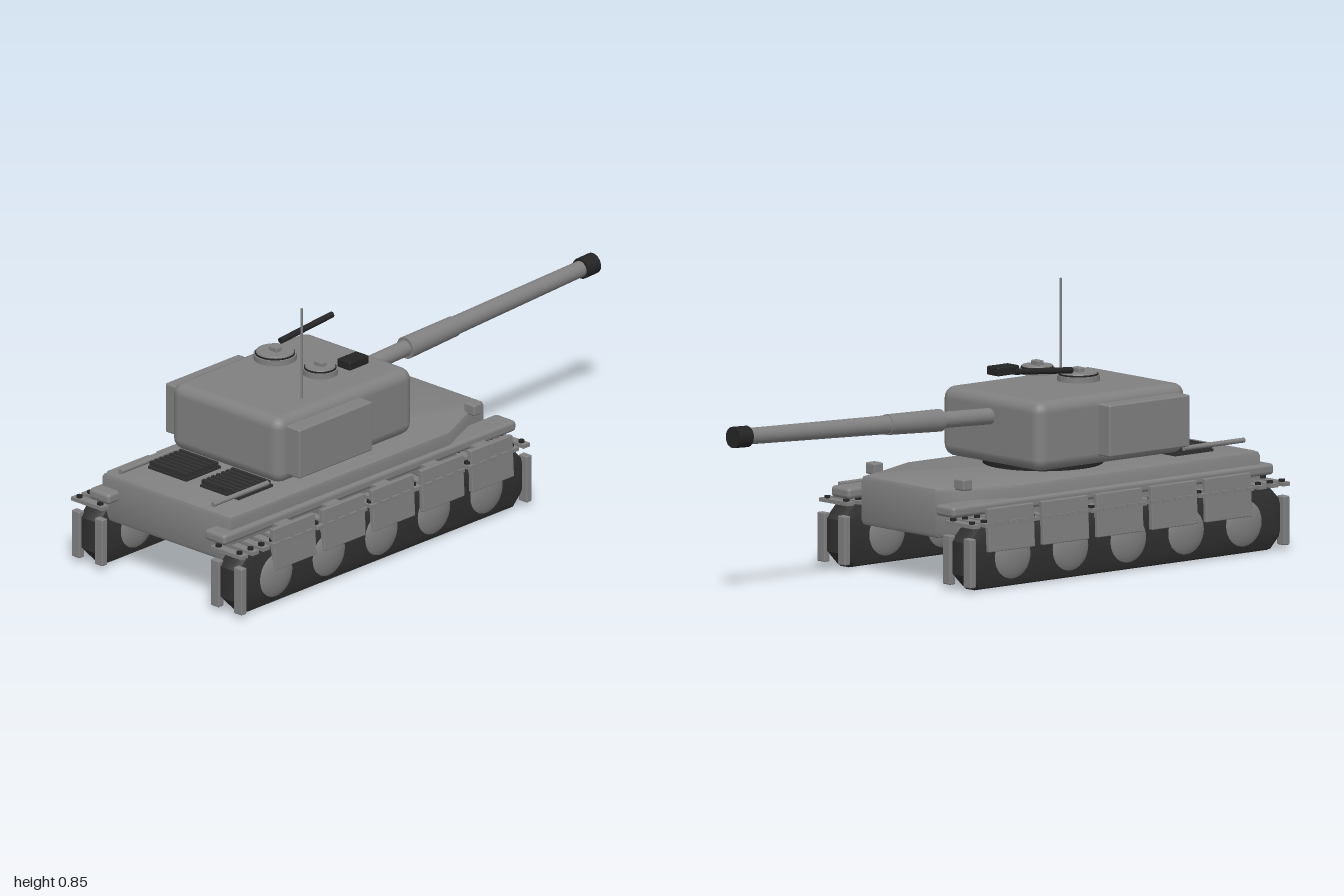
import * as THREE from 'three';
import { RoundedBoxGeometry } from 'three/addons/geometries/RoundedBoxGeometry.js';
import { toCreasedNormals } from 'three/addons/utils/BufferGeometryUtils.js';

const mat = (name, color) => {
  const m = new THREE.MeshStandardMaterial({ color });
  m.name = name;
  return m;
};

export function createModel() {
  const gray = mat('armour gray', 0x808080);
  const dark = mat('track rubber', 0x303030);
  const black = mat('gunmetal', 0x242424);
  const tank = new THREE.Group();
  tank.name = 'tank';

  const add = (name, geo, material, x = 0, y = 0, z = 0, parent = tank) => {
    const m = new THREE.Mesh(geo, material);
    m.name = name;
    m.position.set(x, y, z);
    parent.add(m);
    return m;
  };
  // Box given by its extents
  const box = (name, material, x0, x1, y0, y1, z0, z1, r = 0, parent = tank) => {
    const w = x1 - x0, h = y1 - y0, d = z1 - z0;
    const geo = r ? new RoundedBoxGeometry(w, h, d, 2, r) : new THREE.BoxGeometry(w, h, d);
    return add(name, geo, material, (x0 + x1) / 2, (y0 + y1) / 2, (z0 + z1) / 2, parent);
  };
  // Cylinder between two points
  const rod = (name, material, a, b, r0, r1 = r0, parent = tank) => {
    const p = new THREE.Vector3(...a), q = new THREE.Vector3(...b);
    const m = add(name, new THREE.CylinderGeometry(r1, r0, p.distanceTo(q), 20), material, 0, 0, 0, parent);
    m.position.copy(p).add(q).multiplyScalar(0.5);
    m.quaternion.setFromUnitVectors(new THREE.Vector3(0, 1, 0), q.sub(p).normalize());
    return m;
  };

  // Hull: plan outline with a tapered nose, extruded upward
  const half = [[0.262, 0.935], [0.268, -0.04], [0.185, -0.23], [0.165, -0.295]];
  const outline = [...half, ...half.map(([x, z]) => [-x, z]).reverse()];
  const hullGeo = new THREE.ExtrudeGeometry(new THREE.Shape(outline.map(([x, z]) => new THREE.Vector2(x, z))), {
    depth: 0.13, bevelEnabled: true, bevelSize: 0.015, bevelThickness: 0.015, bevelSegments: 2,
  });
  hullGeo.rotateX(Math.PI / 2);
  add('hull', toCreasedNormals(hullGeo, 0.6), gray, 0, 0.295, 0);

  // Turret
  add('turretRing', new THREE.CylinderGeometry(0.19, 0.19, 0.03, 40), black, 0, 0.317, 0.29);
  box('turret', gray, -0.237, 0.237, 0.325, 0.548, 0.067, 0.688, 0.038);

  // Gun, raised slightly toward the nose
  const gunY = (z) => 0.481 - 0.042 * z;
  const gun = (name, material, z0, z1, r0, r1) =>
    rod(name, material, [0, gunY(z0), z0], [0, gunY(z1), z1], r0, r1);
  gun('barrelBase', gray, 0.1, -0.15, 0.026);
  gun('barrelSleeve', gray, -0.14, -0.36, 0.036, 0.033);
  gun('barrel', gray, -0.35, -0.95, 0.03, 0.026);
  gun('muzzle', black, -0.94, -0.998, 0.034);

  // Roof hatches
  for (const [x, z, r] of [[-0.091, 0.358, 0.068], [0.096, 0.35, 0.056]]) {
    const hatch = new THREE.Group();
    hatch.name = 'hatch';
    hatch.position.set(x, 0, z);
    tank.add(hatch);
    add('hatchRing', new THREE.CylinderGeometry(r, r, 0.018, 32), gray, 0, 0.582, 0, hatch);
    add('hatchSeal', new THREE.CylinderGeometry(r - 0.005, r - 0.005, 0.006, 32), black, 0, 0.593, 0, hatch);
    add('hatchLid', new THREE.CylinderGeometry(r - 0.009, r - 0.007, 0.005, 32), gray, 0, 0.598, 0, hatch);
    box('hatchHandle', gray, -0.018, 0.018, 0.598, 0.615, -0.012, 0.012, 0.004, hatch);
  }
  rod('machineGun', black, [-0.113, 0.612, 0.31], [-0.113, 0.632, 0.075], 0.01);
  box('sight', black, 0.105, 0.16, 0.577, 0.605, 0.195, 0.283, 0.004);
  rod('antenna', gray, [0.157, 0.545, 0.5], [0.157, 0.852, 0.5], 0.004);

  // Engine grilles with raised slats, and everything else in pairs
  for (const s of [-1, 1]) {
    const side = new THREE.Group();
    side.name = s > 0 ? 'leftSide' : 'rightSide';
    tank.add(side);
    const sbox = (name, m, x0, x1, y0, y1, z0, z1, r = 0) =>
      box(name, m, Math.min(s * x0, s * x1), Math.max(s * x0, s * x1), y0, y1, z0, z1, r, side);

    sbox('turretBin', gray, 0.22, 0.29, 0.355, 0.52, 0.315, 0.65, 0.006);
    sbox('grille', dark, 0.03, 0.195, 0.308, 0.318, 0.67, 0.828);
    for (let i = 0; i < 7; i++) {
      const z = 0.68 + i * 0.022;
      sbox('grilleSlat', dark, 0.032, 0.193, 0.318, 0.334, z, z + 0.012);
    }
    rod('deckRod', gray, [s * 0.2, 0.333, 0.7], [s * 0.2, 0.333, 0.95], 0.008, 0.008, side);
    sbox('headlight', gray, 0.19, 0.235, 0.3, 0.337, -0.245, -0.205, 0.006);
    sbox('fender', gray, 0.205, 0.294, 0.23, 0.266, -0.338, 0.997, 0.012);

    // Track: side profile extruded with wide chamfers
    const x = s * 0.3, z0 = -0.297, z1 = 0.965, y0 = 0.026, y1 = 0.18, c = 0.035;
    const profile = new THREE.Shape([
      [z0 + c, y0], [z1 - c, y0], [z1, y0 + c], [z1, y1 - c],
      [z1 - c, y1], [z0 + c, y1], [z0, y1 - c], [z0, y0 + c],
    ].map((p) => new THREE.Vector2(...p)));
    const belt = new THREE.ExtrudeGeometry(profile, {
      depth: 0.04, bevelEnabled: true, bevelSize: 0.026, bevelThickness: 0.03, bevelSegments: 2,
    });
    belt.translate(0, 0, -0.02);
    belt.rotateY(-Math.PI / 2);
    add('track', toCreasedNormals(belt, 0.5), dark, x, 0, 0, side);

    // Cross bars along the upper run, with dark pins
    for (let i = 0; i < 27; i++) {
      const z = -0.32 + i * 0.0495;
      sbox('trackBar', gray, 0.233, 0.368, 0.204, 0.216, z, z + 0.03);
      for (const px of [0.255, 0.345])
        add('trackPin', new THREE.CylinderGeometry(0.01, 0.01, 0.008, 10), black, s * px, 0.22, z + 0.015, side);
    }
    // Upright plates at both ends of the track
    for (const z of [-0.318, 0.984]) {
      sbox('endPlate', gray, 0.233, 0.268, 0.016, 0.172, z - 0.012, z + 0.012, 0.004);
      sbox('endPlate', gray, 0.332, 0.367, 0.016, 0.172, z - 0.012, z + 0.012, 0.004);
    }
    // Domed road wheels on both faces, and skirt panels
    for (let i = 0; i < 5; i++) {
      const zc = 0.82 - i * 0.24;
      for (const dx of [-0.033, 0.033]) {
        const wheel = add('roadWheel', new THREE.SphereGeometry(1, 28, 18), gray, x + dx, 0.1, zc, side);
        wheel.scale.set(0.032, 0.086, 0.088);
      }
      const zs = 0.747 - i * 0.2255;
      const skirt = sbox('skirt', gray, 0.345, 0.363, 0.122, 0.26, zs - 0.095, zs + 0.095, 0.003);
      skirt.rotation.z = s * 0.05;
      sbox('skirtBracket', gray, 0.28, 0.35, 0.232, 0.244, zs - 0.03, zs + 0.03);
    }
  }
  return tank;
}
